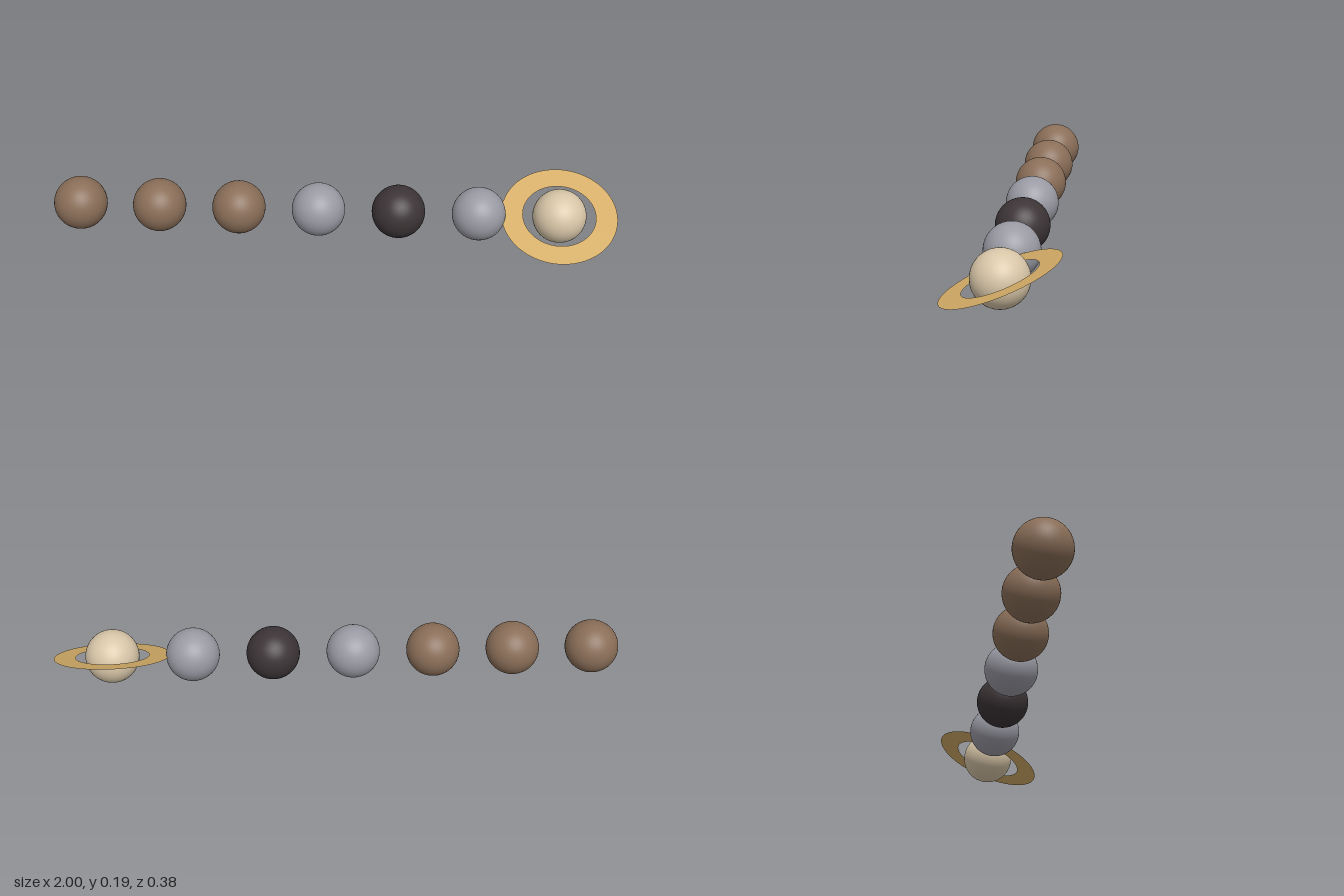
import * as THREE from 'three';

const RADIUS = 0.0945;
const SPACING = RADIUS * 3;

function material(name, color, side = THREE.FrontSide) {
  const m = new THREE.MeshStandardMaterial({ color, side });
  m.name = name;
  return m;
}

export function createModel() {
  const group = new THREE.Group();
  group.name = 'planetRow';

  const brown = material('brown rock', 0x8a6e58);
  const grey = material('grey rock', 0x9a9aa4);
  const charcoal = material('charcoal', 0x3c3436);
  const cream = material('cream', 0xd8c6a8);
  const gold = material('ring gold', 0xd6ae68, THREE.DoubleSide);

  // Row of equal spheres, evenly spaced along x
  const sphere = new THREE.SphereGeometry(RADIUS, 48, 32);
  const row = [
    ['brownPlanet1', brown], ['brownPlanet2', brown], ['brownPlanet3', brown],
    ['greyPlanet1', grey], ['darkPlanet', charcoal], ['greyPlanet2', grey],
    ['ringedPlanet', cream],
  ];
  row.forEach(([name, mat], i) => {
    const planet = new THREE.Mesh(sphere, mat);
    planet.name = name;
    planet.position.set(-1 + RADIUS + i * SPACING, RADIUS, 0);
    group.add(planet);
  });

  // Flat ring around the last planet, tipped down towards the front
  const ring = new THREE.Mesh(
    new THREE.RingGeometry(RADIUS * 1.36, RADIUS * 2.16, 96).rotateX(-Math.PI / 2), gold);
  ring.name = 'planetRing';
  ring.position.copy(group.children[row.length - 1].position);
  ring.rotation.x = 0.382;
  group.add(ring);

  return group;
}
